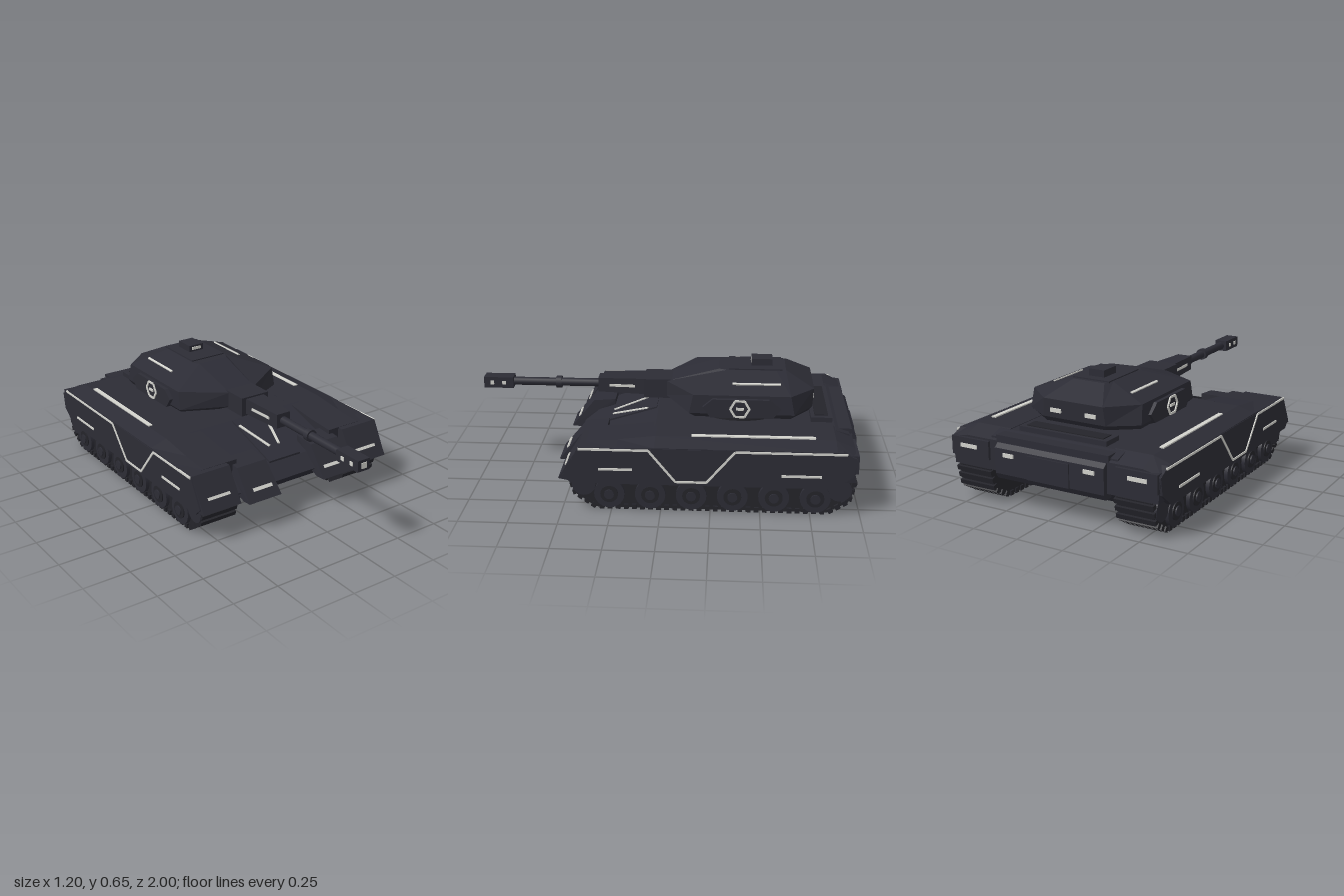
import * as THREE from 'three';

const mat = (name, color) => Object.assign(new THREE.MeshStandardMaterial({ color }), { name });

export function createModel() {
  const model = new THREE.Group();
  model.name = 'tank';
  const body = mat('charcoal armour', 0x2c2c35);
  const dark = mat('dark running gear', 0x24242a);
  const pale = mat('pale light strip', 0xd2d2cc);

  const add = (name, geometry, material = body) => {
    const mesh = new THREE.Mesh(geometry, material);
    mesh.name = name;
    model.add(mesh);
    return mesh;
  };

  // Box given by its minimum and maximum corners
  const box = (name, [x0, x1], [y0, y1], [z0, z1], material) => {
    const m = add(name, new THREE.BoxGeometry(Math.abs(x1 - x0), y1 - y0, z1 - z0), material);
    m.position.set((x0 + x1) / 2, (y0 + y1) / 2, (z0 + z1) / 2);
    return m;
  };

  // Flat-shaded solid through matching rings of points, turned outward by its volume
  const loft = (name, rings, material) => {
    const tris = [];
    const n = rings[0].length;
    for (let r = 0; r + 1 < rings.length; r++) {
      for (let i = 0; i < n; i++) {
        const j = (i + 1) % n, A = rings[r], B = rings[r + 1];
        tris.push([A[i], A[j], B[j]], [A[i], B[j], B[i]]);
      }
    }
    const first = rings[0], last = rings[rings.length - 1];
    for (let i = 1; i + 1 < n; i++) {
      tris.push([first[0], first[i + 1], first[i]], [last[0], last[i], last[i + 1]]);
    }
    const v = (p) => new THREE.Vector3(...p);
    const volume = tris.reduce((s, [a, b, c]) => s + v(a).dot(v(b).cross(v(c))), 0);
    if (volume < 0) tris.forEach((t) => t.reverse());
    const g = new THREE.BufferGeometry();
    g.setAttribute('position', new THREE.Float32BufferAttribute(tris.flat(2), 3));
    g.computeVertexNormals();
    return add(name, g, material);
  };

  // Side profile of [z, y] points spanning x0 to x1
  const prism = (name, profile, x0, x1, material) =>
    loft(name, [x0, x1].map((x) => profile.map(([z, y]) => [x, y, z])), material);

  // Thin bar between two points, lying on a surface with the given normal
  const bar = (name, a, b, normal, width, thick = 0.008, material = pale) => {
    const from = new THREE.Vector3(...a), to = new THREE.Vector3(...b);
    const m = add(name, new THREE.BoxGeometry(width, thick, from.distanceTo(to)), material);
    m.position.copy(from).lerp(to, 0.5);
    m.up.set(...normal);
    m.lookAt(to);
  };

  // Wheel-like cylinder lying across the tank
  const disc = (name, x, y, z, radius, width, material) => {
    const m = add(name, new THREE.CylinderGeometry(radius, radius, width, 24), material);
    m.rotation.z = Math.PI / 2;
    m.position.set(x, y, z);
  };

  // Hull tub, glacis plate and decks
  prism('hull', [[0.47, 0.22], [0.37, 0.13], [-0.88, 0.13], [-0.95, 0.2], [-0.95, 0.37],
    [-0.88, 0.39], [0.04, 0.395], [0.39, 0.285]], -0.36, 0.36);
  prism('glacisPlate', [[0.05, 0.38], [0.05, 0.4], [0.39, 0.295], [0.39, 0.27]], -0.1, 0.1);
  box('engineDeck', [-0.25, 0.25], [0.38, 0.415], [-0.87, -0.76]);
  box('engineGrille', [-0.22, 0.22], [0.41, 0.42], [-0.85, -0.78], dark);
  box('rearLedge', [-0.32, 0.32], [0.34, 0.385], [-0.965, -0.89]);
  prism('rearBox', [[-0.93, 0.17], [-0.975, 0.17], [-0.993, 0.2], [-0.993, 0.33],
    [-0.97, 0.35], [-0.93, 0.35]], -0.31, 0.31);
  box('rearHatch', [-0.12, 0.12], [0.2, 0.32], [-1, -0.98]);

  const trackPath = [[0.465, 0.2], [0.43, 0.09], [0.33, 0.02], [-0.84, 0.02], [-0.94, 0.08], [-0.97, 0.2]];

  for (const s of [1, -1]) {
    // Fender running the length of the hull
    const section = (z, edge, top, low) =>
      [[0.3, low], [0.58, low], [0.593, edge], [0.5, top], [0.3, top]].map(([x, y]) => [s * x, y, z]);
    loft('fender', [section(-0.965, 0.335, 0.355, 0.2), section(-0.87, 0.365, 0.393, 0.2),
      section(0.03, 0.367, 0.395, 0.2), section(0.22, 0.362, 0.372, 0.2), section(0.38, 0.355, 0.362, 0.25)]);

    // Side skirt with its angular light line
    prism('sideSkirt', [[0.41, 0.36], [0.49, 0.21], [0.45, 0.17], [-0.87, 0.17], [-0.955, 0.24],
      [-0.97, 0.33], [-0.9, 0.366]], s * 0.56, s * 0.596);
    const line = [[0.41, 0.355], [0.06, 0.355], [-0.075, 0.19], [-0.23, 0.19], [-0.37, 0.357], [-0.92, 0.357]];
    const out = [s, 0, 0];
    for (let i = 0; i + 1 < line.length; i++) {
      const [a, b] = [line[i], line[i + 1]].map(([z, y]) => [s * 0.597, y, z]);
      bar('skirtLine', a, b, out, 0.011);
    }
    bar('skirtFrontStrip', [s * 0.597, 0.25, 0.31], [s * 0.597, 0.25, 0.14], out, 0.012);
    bar('skirtRearStrip', [s * 0.597, 0.235, -0.6], [s * 0.597, 0.235, -0.8], out, 0.012);
    bar('deckStrip', [s * 0.487, 0.396, -0.77], [s * 0.487, 0.396, -0.15], [0, 1, 0], 0.024);

    // Front flaps with lamps
    const slope = [0, 0.55, 0.83];
    prism('outerFlap', [[0.3, 0.362], [0.41, 0.36], [0.515, 0.19], [0.46, 0.18], [0.3, 0.25]], s * 0.365, s * 0.588);
    bar('outerLamp', [s * 0.41, 0.25, 0.48], [s * 0.54, 0.25, 0.48], slope, 0.016);
    const flap = [[0.3, 0.345, 0.01], [0.42, 0.335, 0.01], [0.545, 0.185, 0], [0.49, 0.18, 0], [0.3, 0.24, 0.01]];
    loft('innerFlap', [[0.137, 1], [0.335, -1]].map(([x, d]) => flap.map(([z, y, i]) => [s * (x + d * i), y, z])));
    bar('innerLamp', [s * 0.17, 0.235, 0.506], [s * 0.285, 0.235, 0.506], [0, 0.64, 0.77], 0.018);
    bar('glacisStripe', [s * 0.088, 0.386, 0.1], [s * 0.03, 0.326, 0.294], [0, 0.95, 0.3], 0.014);

    // Rear lamps
    box('rearLampHousing', [s * 0.36, s * 0.585], [0.25, 0.345], [-0.98, -0.94]);
    box('rearLamp', [s * 0.43, s * 0.53], [0.295, 0.315], [-0.985, -0.978], pale);
    box('rearBoxLamp', [s * 0.2, s * 0.26], [0.29, 0.31], [-0.999, -0.992], pale);

    // Track belt with evenly spaced links
    prism('track', trackPath, s * 0.36, s * 0.55, dark);
    const curve = new THREE.CurvePath();
    for (let i = 0; i + 1 < trackPath.length; i++) {
      const [a, b] = [trackPath[i], trackPath[i + 1]];
      curve.add(new THREE.LineCurve3(new THREE.Vector3(0, a[1], a[0]), new THREE.Vector3(0, b[1], b[0])));
    }
    const links = 40;
    for (let i = 0; i < links; i++) {
      const p = curve.getPointAt((i + 0.5) / links), t = curve.getTangentAt((i + 0.5) / links);
      const link = add('trackLink', new THREE.BoxGeometry(0.21, 0.026, 0.024), dark);
      link.position.set(s * 0.457, p.y + 0.008 * Math.abs(t.z), p.z);
      link.rotation.x = Math.atan2(-t.y, t.z);
    }

    // Road wheels, sprocket and idler
    for (let i = 0; i < 6; i++) {
      const z = 0.26 - i * 0.207;
      disc('roadWheel', s * 0.54, 0.103, z, 0.077, 0.06);
      disc('wheelRim', s * 0.572, 0.103, z, 0.045, 0.008, dark);
      disc('wheelHub', s * 0.572, 0.103, z, 0.025, 0.022);
    }
    disc('idler', s * 0.54, 0.15, 0.39, 0.06, 0.05);
    disc('sprocket', s * 0.54, 0.15, -0.895, 0.06, 0.05);
  }

  // Turret on its ring, stacked from plan outlines of [x, y, z] half points
  const ring = add('turretRing', new THREE.CylinderGeometry(0.265, 0.265, 0.05, 32), dark);
  ring.position.set(0, 0.41, -0.39);
  const outline = (half) => [...half, ...half.map(([x, y, z]) => [-x, y, z]).reverse()];
  loft('turret', [
    [[0.1, 0.425, -0.07], [0.29, 0.425, -0.16], [0.305, 0.425, -0.65], [0.17, 0.425, -0.75]],
    [[0.08, 0.46, 0], [0.314, 0.45, -0.13], [0.322, 0.45, -0.67], [0.18, 0.45, -0.768]],
    [[0.08, 0.54, 0], [0.31, 0.548, -0.15], [0.315, 0.548, -0.65], [0.17, 0.545, -0.775]],
    [[0.09, 0.618, -0.28], [0.11, 0.618, -0.32], [0.11, 0.618, -0.58], [0.09, 0.618, -0.63]],
  ].map(outline));
  box('roofHatch', [-0.105, 0.105], [0.6, 0.624], [-0.61, -0.33]);
  box('sightBox', [-0.045, 0.045], [0.615, 0.66], [-0.56, -0.45]);
  box('sightWindow', [-0.028, 0.028], [0.634, 0.65], [-0.452, -0.446], pale);

  for (const s of [1, -1]) {
    prism('turretSidePanel', [[-0.2, 0.49], [-0.25, 0.533], [-0.54, 0.533], [-0.6, 0.485],
      [-0.56, 0.435], [-0.24, 0.435]], s * 0.3, s * 0.334);
    // Six-sided side frame with a bar in the middle
    for (let i = 0; i < 6; i++) {
      const [a, b] = [i, i + 1].map((k) =>
        [s * 0.336, 0.485 + 0.049 * Math.sin(k * Math.PI / 3), -0.39 + 0.049 * Math.cos(k * Math.PI / 3)]);
      bar('sideFrame', a, b, [s, 0, 0], 0.011);
    }
    bar('sideFrameBar', [s * 0.336, 0.485, -0.37], [s * 0.336, 0.485, -0.41], [s, 0, 0], 0.014);
    bar('roofStrip', [s * 0.225, 0.581, -0.35], [s * 0.225, 0.581, -0.6], [s * 0.32, 0.95, 0], 0.012);
    box('turretRearLamp', [s * 0.07, s * 0.13], [0.48, 0.5], [-0.779, -0.77], pale);
    bar('sleeveStrip', [s * 0.053, 0.497, 0.17], [s * 0.046, 0.497, 0.31], [s, 0, 0], 0.014);
    for (const z of [0.885, 0.95]) box('muzzleVent', [s * 0.033, s * 0.041], [0.485, 0.505], [z - 0.01, z + 0.01], pale);
  }

  // Gun
  box('mantlet', [-0.085, 0.085], [0.445, 0.548], [-0.04, 0.12]);
  const rect = (w, y0, y1, z) => [[-w, y0, z], [w, y0, z], [w, y1, z], [-w, y1, z]];
  loft('gunSleeve', [rect(0.058, 0.453, 0.54, 0.1), rect(0.042, 0.458, 0.535, 0.37)]);
  const tube = (name, r, z0, z1) => {
    const m = add(name, new THREE.CylinderGeometry(r, r, z1 - z0, 16));
    m.rotation.x = Math.PI / 2;
    m.position.set(0, 0.495, (z0 + z1) / 2);
  };
  tube('barrel', 0.022, 0.35, 0.85);
  tube('barrelCollar', 0.032, 0.573, 0.603);
  box('muzzleBrake', [-0.036, 0.036], [0.465, 0.525], [0.835, 0.995]);
  box('muzzleBore', [-0.015, 0.015], [0.48, 0.51], [0.992, 1], pale);

  return model;
}
